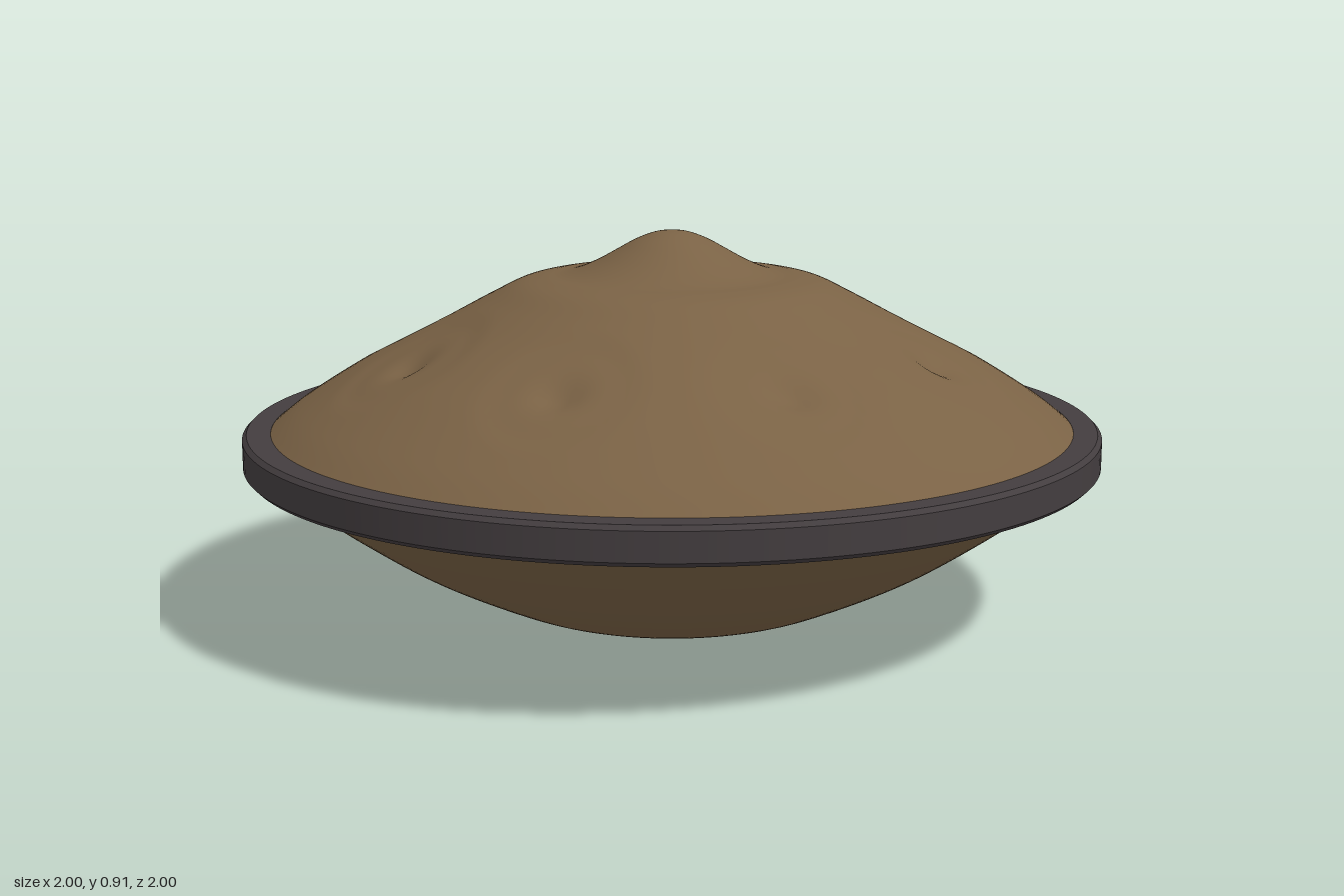
import * as THREE from 'three';
import { mergeVertices } from 'three/addons/utils/BufferGeometryUtils.js';

const bronze = new THREE.MeshStandardMaterial({ color: 0x7a6245, side: THREE.DoubleSide });
bronze.name = 'bronze';
const darkRubber = new THREE.MeshStandardMaterial({ color: 0x433d3f });
darkRubber.name = 'dark rubber';

const SEGMENTS = 160;

// Smooth profile through a few [radius, height] points
function profile(points, count) {
  const curve = new THREE.SplineCurve(points.map(([r, y]) => new THREE.Vector2(r, y)));
  return curve.getSpacedPoints(count).map(p => new THREE.Vector2(Math.max(p.x, 0), p.y));
}

function addMesh(group, name, geometry, material) {
  const mesh = new THREE.Mesh(geometry, material);
  mesh.name = name;
  group.add(mesh);
}

// Upper shell: domed lathe with a raised centre and eight dented note fields
function upperShellGeometry() {
  const points = profile([
    [0.94, 0.45], [0.87, 0.505], [0.74, 0.587], [0.63, 0.646], [0.52, 0.702], [0.43, 0.75],
    [0.36, 0.785], [0.3, 0.799], [0.26, 0.803], [0.22, 0.814], [0.175, 0.834],
    [0.13, 0.859], [0.085, 0.884], [0.04, 0.901], [0, 0.906],
  ], 90);
  points[points.length - 1].x = 0;
  let geometry = new THREE.LatheGeometry(points, SEGMENTS);
  const pos = geometry.attributes.position;
  for (let i = 0; i < pos.count; i++) {
    const x = pos.getX(i), z = pos.getZ(i);
    let drop = 0;
    for (let k = 0; k < 8; k++) {
      const a = k * Math.PI / 4;
      const d = Math.hypot(x - 0.635 * Math.cos(a), z - 0.635 * Math.sin(a));
      drop += 0.022 * Math.exp(-((d / 0.05) ** 2));
      drop += 0.006 * (1 - THREE.MathUtils.smoothstep(d, 0.12, 0.19));
    }
    pos.setY(i, pos.getY(i) - drop);
  }
  geometry.deleteAttribute('uv');
  geometry.deleteAttribute('normal');
  geometry = mergeVertices(geometry, 1e-5);
  geometry.computeVertexNormals();
  return geometry;
}

export function createModel() {
  const group = new THREE.Group();
  group.name = 'handpan';

  addMesh(group, 'upperShell', upperShellGeometry(), bronze);

  // Lower shell: open bowl
  addMesh(group, 'lowerShell', new THREE.LatheGeometry(profile([
    [0.265, 0.003], [0.35, 0.025], [0.445, 0.06], [0.63, 0.153], [0.79, 0.258], [0.94, 0.37],
  ], 40), SEGMENTS), bronze);

  // Port: short neck turned up into the bowl
  addMesh(group, 'portNeck', new THREE.LatheGeometry(profile([
    [0.235, 0.075], [0.238, 0.045], [0.247, 0.018], [0.257, 0.003], [0.265, 0.0],
  ], 14), SEGMENTS), bronze);

  // Rim band: ring with small bevels, cut as a closed cross-section
  const ring = [
    [0.935, 0.37], [0.99, 0.37], [1.0, 0.38], [1.0, 0.445], [0.99, 0.455], [0.935, 0.455], [0.935, 0.37],
  ];
  for (let i = 0; i < ring.length - 1; i++) {
    const pair = [ring[i], ring[i + 1]].map(([r, y]) => new THREE.Vector2(r, y));
    addMesh(group, 'rimBand' + (i + 1), new THREE.LatheGeometry(pair, SEGMENTS), darkRubber);
  }
  return group;
}
